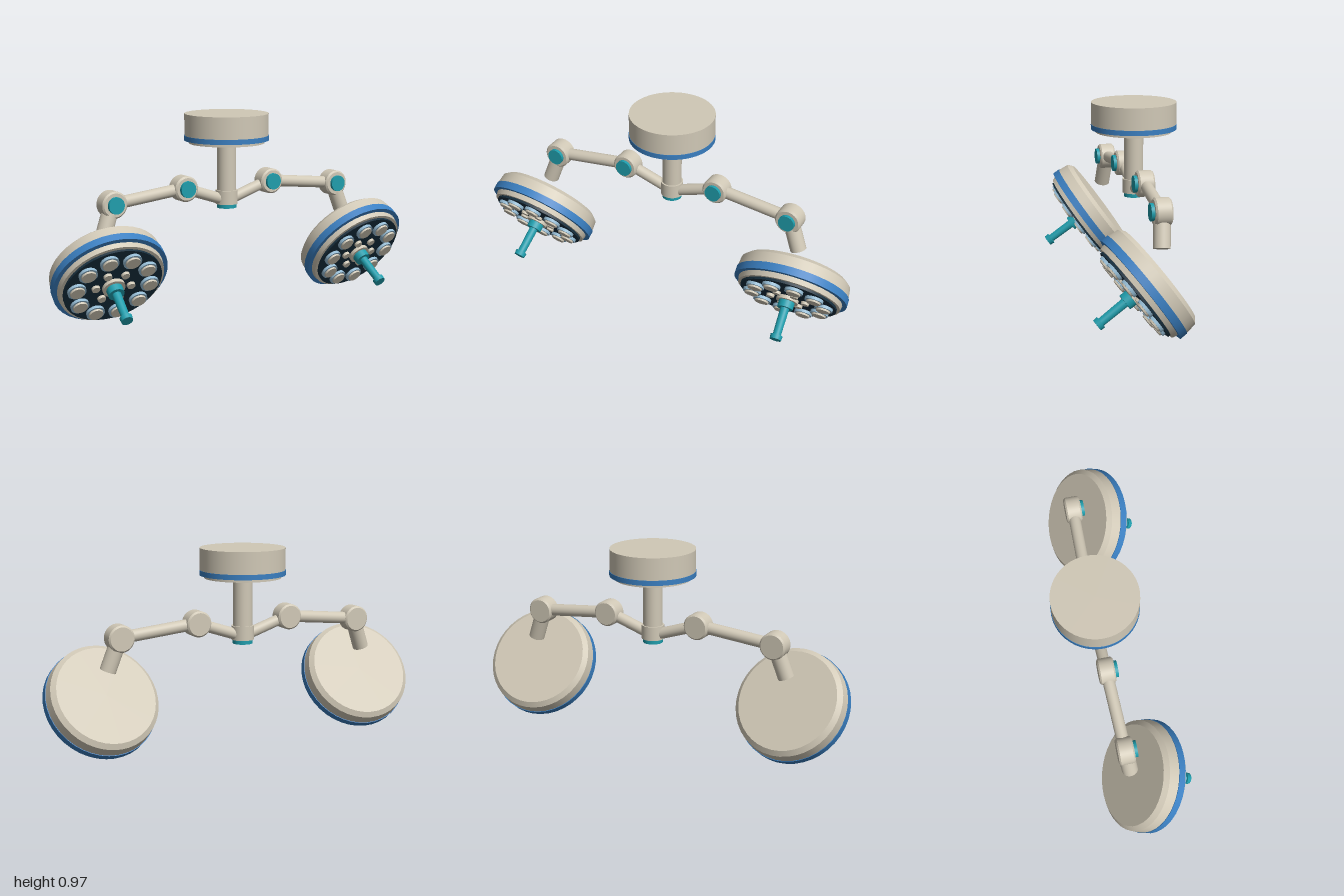
import * as THREE from 'three';

const mat = (name, color) => {
  const m = new THREE.MeshStandardMaterial({ color });
  m.name = name;
  return m;
};

export function createModel() {
  const beige = mat('warm beige', 0xd0c8b6);
  const blue = mat('trim blue', 0x3a7fc1);
  const teal = mat('grip teal', 0x1f9dac);
  const dark = mat('panel navy', 0x18303f);
  const pale = mat('lens ring blue', 0x93b9d1);

  const model = new THREE.Group();
  model.name = 'surgicalLamp';

  // upright disc between two heights, with a bottom and a top radius
  function disc(parent, name, material, y0, y1, r0, r1 = r0, sides = 40) {
    const mesh = new THREE.Mesh(new THREE.CylinderGeometry(r1, r0, y1 - y0, sides), material);
    mesh.position.y = (y0 + y1) / 2;
    mesh.name = name;
    parent.add(mesh);
    return mesh;
  }

  // round bar between two points
  function bar(parent, name, a, b, r) {
    const dir = b.clone().sub(a);
    const mesh = new THREE.Mesh(new THREE.CylinderGeometry(r, r, dir.length(), 28), beige);
    mesh.position.copy(a).add(b).multiplyScalar(0.5);
    mesh.quaternion.setFromUnitVectors(new THREE.Vector3(0, 1, 0), dir.normalize());
    mesh.name = name;
    parent.add(mesh);
  }

  // pivot drum facing the front, with bevelled rims and a teal cap
  function joint(parent, name, p, r) {
    const g = new THREE.Group();
    g.name = name;
    g.position.copy(p);
    g.rotation.x = Math.PI / 2;
    disc(g, 'drumBackBevel', beige, -0.04, -0.032, r - 0.008, r);
    disc(g, 'drum', beige, -0.032, 0.032, r);
    disc(g, 'drumFrontBevel', beige, 0.032, 0.04, r, r - 0.008);
    disc(g, 'drumCap', teal, 0.04, 0.056, 0.041);
    parent.add(g);
  }

  // ceiling canopy, post and lower hub
  const mount = new THREE.Group();
  mount.name = 'ceilingMount';
  mount.position.z = -0.063;
  disc(mount, 'canopy', beige, 0.868, 0.977, 0.211, 0.211, 48);
  disc(mount, 'canopyBand', blue, 0.843, 0.868, 0.213, 0.213, 48);
  disc(mount, 'canopyLip', beige, 0.828, 0.843, 0.19, 0.19, 48);
  disc(mount, 'post', beige, 0.56, 0.828, 0.048);
  disc(mount, 'hub', beige, 0.52, 0.59, 0.056);
  disc(mount, 'hubCap', teal, 0.5, 0.52, 0.049);
  model.add(mount);

  // lamp head, built along +y and then tilted forward and down
  function lampHead(s) {
    const head = new THREE.Group();
    head.name = s > 0 ? 'leftHead' : 'rightHead';
    head.position.set(s * 0.722, 0.184, 0.133);
    head.rotation.set(THREE.MathUtils.degToRad(126), s * 0.09, 0, 'YXZ');
    disc(head, 'casingBack', beige, -0.198, -0.178, 0.252, 0.275);
    disc(head, 'casing', beige, -0.178, -0.125, 0.275, 0.281);
    disc(head, 'casingBand', blue, -0.125, -0.087, 0.284);
    disc(head, 'casingRim', beige, -0.087, -0.062, 0.262, 0.257);
    disc(head, 'lightPanel', dark, -0.062, -0.05, 0.242);

    // outer ring of large lights and inner ring of small ones
    for (let i = 0; i < 10; i++) {
      const a = (i + 0.5) * Math.PI / 5;
      const light = new THREE.Group();
      light.name = 'largeLight';
      light.position.set(0.182 * Math.sin(a), 0, 0.182 * Math.cos(a));
      disc(light, 'lightRing', pale, -0.05, -0.035, 0.045, 0.045, 24);
      disc(light, 'lens', beige, -0.035, -0.026, 0.036, 0.034, 24);
      head.add(light);
    }
    for (let i = 0; i < 6; i++) {
      const a = (i + 0.5) * Math.PI / 3;
      const lens = disc(head, 'smallLight', beige, -0.05, -0.036, 0.021, 0.019, 20);
      lens.position.x = 0.088 * Math.sin(a);
      lens.position.z = 0.088 * Math.cos(a);
    }

    // sterile handle
    disc(head, 'handleBase', beige, -0.05, -0.032, 0.055);
    disc(head, 'handleCollar', teal, -0.032, 0.003, 0.04, 0.039, 28);
    disc(head, 'handleGrip', teal, 0.003, 0.145, 0.022, 0.02, 28);
    disc(head, 'handleTip', teal, 0.142, 0.165, 0.03, 0.028, 28);
    model.add(head);
  }

  // two mirrored arms with their heads
  for (const s of [1, -1]) {
    const arm = new THREE.Group();
    arm.name = s > 0 ? 'leftArm' : 'rightArm';
    const root = new THREE.Vector3(0, 0.535, -0.063);
    const elbow = new THREE.Vector3(s * 0.25, 0.618, -0.062);
    const wrist = new THREE.Vector3(s * 0.648, 0.576, -0.051);
    const end = new THREE.Vector3(s * 0.705, 0.419, -0.038);
    bar(arm, 'innerArm', root, elbow, 0.028);
    bar(arm, 'outerArm', elbow, wrist, 0.03);
    bar(arm, 'dropStub', wrist, end, 0.04);
    joint(arm, 'elbowJoint', elbow, 0.064);
    joint(arm, 'wristJoint', wrist, 0.066);
    model.add(arm);
    lampHead(s);
  }
  return model;
}
